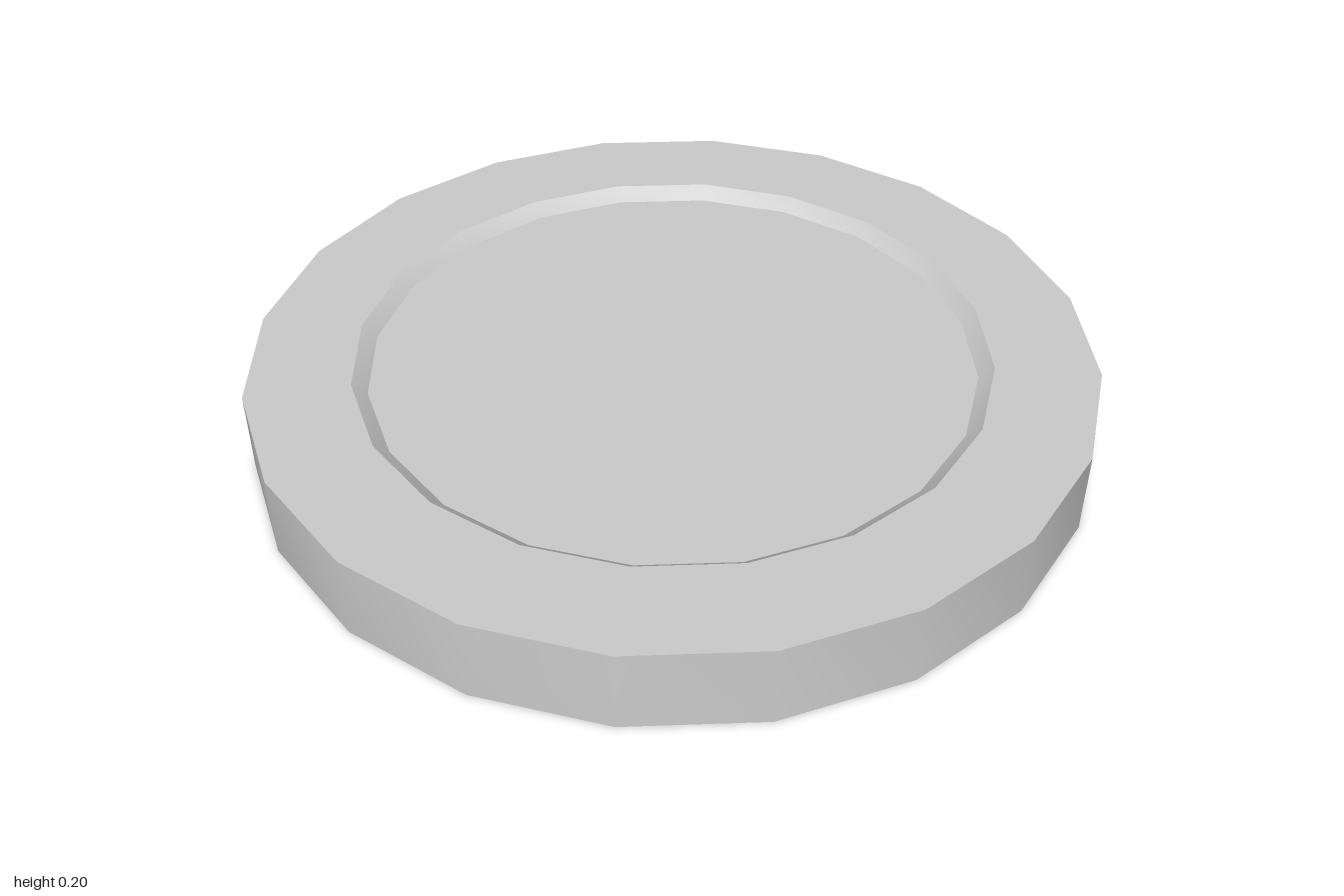
import * as THREE from 'three';
import { toCreasedNormals } from 'three/addons/utils/BufferGeometryUtils.js';

const SIDES = 20;
const HEIGHT = 0.2;
const RECESS = 0.03;

export function createModel() {
  const group = new THREE.Group();
  group.name = 'disc';
  const material = new THREE.MeshStandardMaterial({ color: 0xcccccc });

  // Closed half-section, from the underside centre around the rim to the top centre
  const profile = [
    [0, RECESS], [0.745, RECESS], [0.78, 0],   // shallow recess below
    [1, 0], [1, HEIGHT],                       // outer wall
    [0.755, HEIGHT], [0.72, HEIGHT - RECESS], [0, HEIGHT - RECESS], // shallow recess above
  ].map(([r, y]) => new THREE.Vector2(r, y));

  // Smooth around the wall, sharp at the rims
  const geometry = toCreasedNormals(new THREE.LatheGeometry(profile, SIDES), Math.PI / 6);
  const body = new THREE.Mesh(geometry, material);
  body.name = 'recessedDisc';
  group.add(body);
  return group;
}
